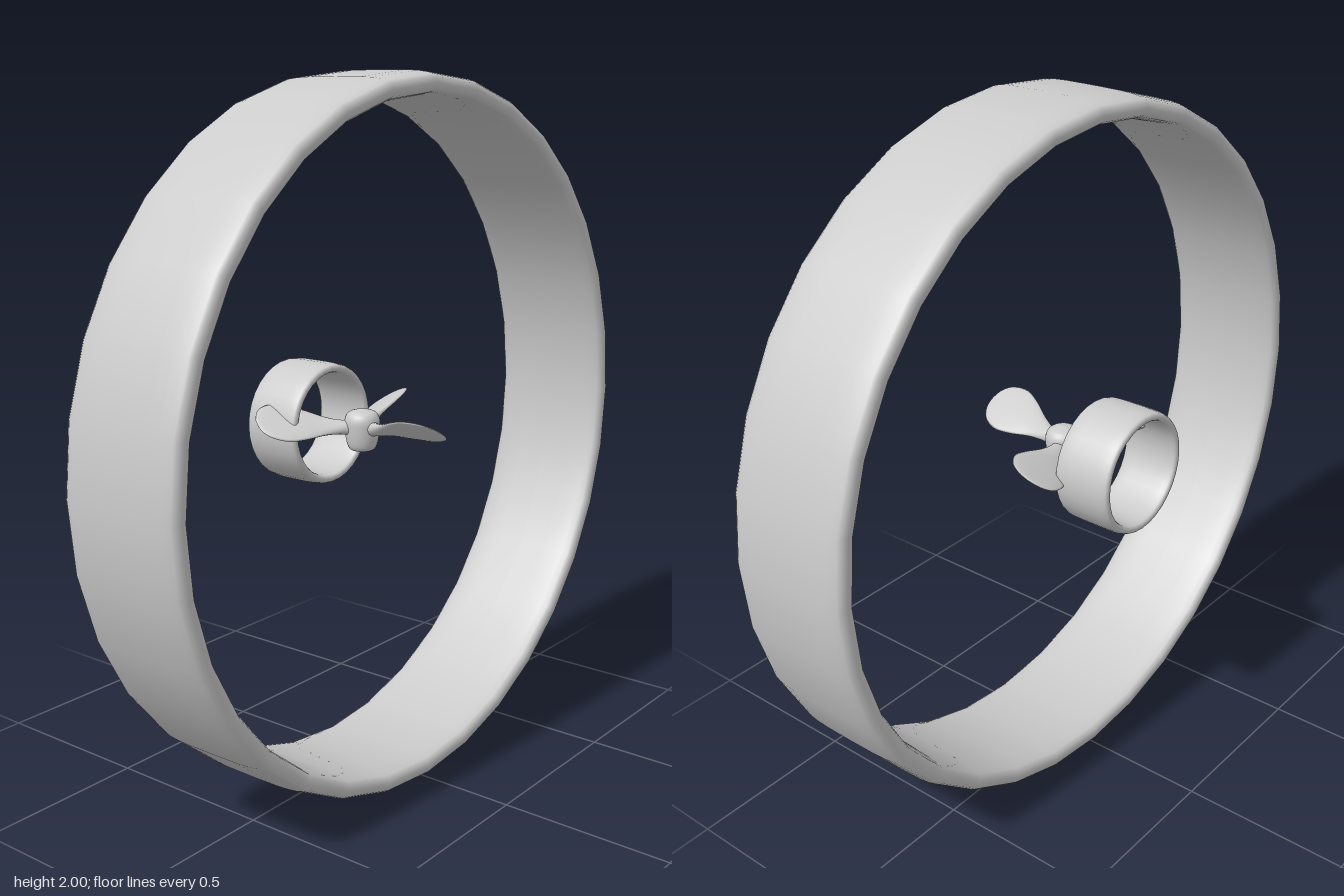
import * as THREE from 'three';
import { ParametricGeometry } from 'three/addons/geometries/ParametricGeometry.js';

const material = new THREE.MeshStandardMaterial({ color: 0xcccccc });

function addMesh(parent, geometry, name) {
  const mesh = new THREE.Mesh(geometry, material);
  mesh.name = name;
  parent.add(mesh);
  return mesh;
}

// Ring band around the z axis with a rounded, slightly bulged cross-section
function ringBand(radius, halfThickness, halfDepth, segments) {
  const power = (v) => Math.sign(v) * Math.pow(Math.abs(v), 0.55);
  const profile = [];
  const count = 24;
  for (let i = 0; i <= count; i++) {
    const a = (i / count) * Math.PI * 2 + Math.PI;
    profile.push(new THREE.Vector2(
      radius + halfThickness * power(Math.cos(a)),
      halfDepth * power(Math.sin(a)),
    ));
  }
  return new THREE.LatheGeometry(profile, segments).rotateX(Math.PI / 2);
}

// Blade stations from root to tip: half chord, half thickness, distance from hub
const stations = new THREE.CatmullRomCurve3([
  [0.022, 0.024, 0.02],
  [0.024, 0.018, 0.06],
  [0.038, 0.012, 0.11],
  [0.064, 0.010, 0.17],
  [0.078, 0.008, 0.225],
  [0.064, 0.006, 0.275],
  [0.036, 0.004, 0.298],
  [0.0, 0.0, 0.306],
].map((p) => new THREE.Vector3(...p)));

// Leaf-shaped blade along +z, pitched and rising slightly towards the tip
function bladeGeometry() {
  const pitch = 0.52;
  const station = new THREE.Vector3();
  return new ParametricGeometry((u, v, target) => {
    stations.getPoint(v, station);
    const x = Math.max(station.x, 0) * Math.cos(u * Math.PI * 2);
    const y = Math.max(station.y, 0) * Math.sin(u * Math.PI * 2);
    target.set(
      x * Math.cos(pitch) + y * Math.sin(pitch),
      -x * Math.sin(pitch) + y * Math.cos(pitch) + 0.13 * station.z,
      station.z,
    );
  }, 16, 28);
}

export function createModel() {
  const model = new THREE.Group();
  model.name = 'ringedPropeller';

  // Large outer ring
  addMesh(model, ringBand(0.965, 0.034, 0.187, 32), 'outerRing').position.set(0, 1, 0.048);

  // Small ring behind the propeller
  addMesh(model, ringBand(0.163, 0.015, 0.088, 32), 'innerRing').position.set(0, 1.005, -0.207);

  // Propeller on a vertical axis
  const propeller = new THREE.Group();
  propeller.name = 'propeller';
  propeller.position.set(0, 1.008, -0.012);
  model.add(propeller);

  const hubProfile = new THREE.SplineCurve([
    [0, -0.063], [0.032, -0.06], [0.044, -0.04], [0.05, 0],
    [0.05, 0.03], [0.036, 0.05], [0, 0.058],
  ].map((p) => new THREE.Vector2(...p))).getPoints(20);
  hubProfile.forEach((p) => { p.x = Math.max(p.x, 0); });
  addMesh(propeller, new THREE.LatheGeometry(hubProfile, 24), 'hub');

  const blade = bladeGeometry();
  for (let i = 0; i < 3; i++) {
    addMesh(propeller, blade, 'blade').rotation.y = -0.15 + (i * Math.PI * 2) / 3;
  }
  return model;
}
